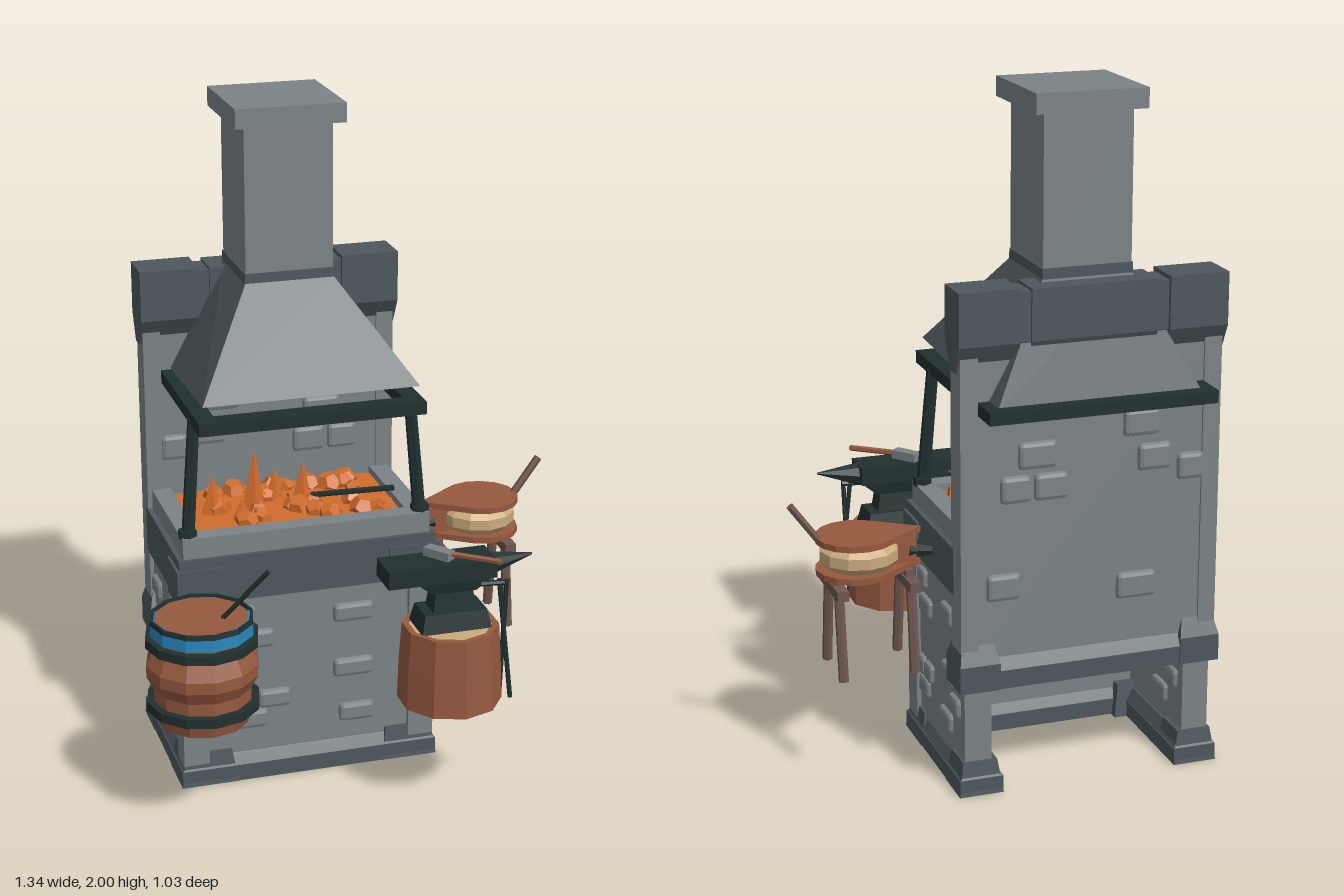
import * as THREE from 'three';
import { RoundedBoxGeometry } from 'three/addons/geometries/RoundedBoxGeometry.js';
import { ConvexGeometry } from 'three/addons/geometries/ConvexGeometry.js';

const material = (name, color) => Object.assign(new THREE.MeshStandardMaterial({ color }), { name });
const M = {
  stone: material('light stone', 0x7b8386),
  dark: material('dark stone', 0x4c575c),
  iron: material('black iron', 0x20302f),
  wood: material('red wood', 0x96593f),
  tan: material('tan leather', 0xcbab7d),
  blue: material('blue paint', 0x2482b8),
  fire: material('glowing coal', 0xd06c2c),
  handle: material('handle wood', 0x6f574f),
};

export function createModel() {
  const root = new THREE.Group();
  root.name = 'blacksmithForge';
  const V = (x, y, z) => new THREE.Vector3(x, y, z);

  // Faceted mesh
  const add = (name, geo, mat, x = 0, y = 0, z = 0, parent = root) => {
    const g = geo.index ? geo.toNonIndexed() : geo;
    g.computeVertexNormals();
    const m = new THREE.Mesh(g, mat);
    m.name = name;
    m.position.set(x, y, z);
    parent.add(m);
    return m;
  };
  // Box given by its limits; the top can be drawn in on x and z
  const box = (name, mat, x0, x1, y0, y1, z0, z1, inX = 0, inZ = 0) => {
    const g = new THREE.BoxGeometry(x1 - x0, y1 - y0, z1 - z0);
    const p = g.attributes.position;
    for (let i = 0; i < p.count; i++) if (p.getY(i) > 0) {
      p.setX(i, p.getX(i) - Math.sign(p.getX(i)) * inX);
      p.setZ(i, p.getZ(i) - Math.sign(p.getZ(i)) * inZ);
    }
    return add(name, g, mat, (x0 + x1) / 2, (y0 + y1) / 2, (z0 + z1) / 2);
  };
  // Profile of [z, y] points swept along x
  const prism = (name, mat, pts, x0, x1) => {
    const s = new THREE.Shape(pts.map(([z, y]) => new THREE.Vector2(-z, y)));
    const g = new THREE.ExtrudeGeometry(s, { depth: x1 - x0, bevelEnabled: false });
    return add(name, g.rotateY(Math.PI / 2), mat, x0);
  };
  const rod = (name, mat, a, b, r, r2 = r, sides = 6) => {
    const d = b.clone().sub(a);
    const m = add(name, new THREE.CylinderGeometry(r2, r, d.length(), sides), mat);
    m.position.copy(a).addScaledVector(d, 0.5);
    m.quaternion.setFromUnitVectors(V(0, 1, 0), d.normalize());
    return m;
  };
  const lathe = (name, mat, pts, sides, x, z) =>
    add(name, new THREE.LatheGeometry(pts.map(p => new THREE.Vector2(...p)), sides), mat, x, 0, z);

  const L = -0.535, R = 0.255;

  // Base walls, open at the back
  box('frontWall', M.stone, L + 0.02, R - 0.02, 0.03, 0.61, -0.01, 0.075);
  for (const s of [-1, 1]) {
    const edge = s > 0 ? R : L;
    const slab = (name, mat, a, b, y0, y1, z0, z1, ix, iz) =>
      box(name, mat, Math.min(edge - s * a, edge - s * b), Math.max(edge - s * a, edge - s * b), y0, y1, z0, z1, ix, iz);
    slab('lowerSideWall', M.stone, 0.02, 0.1, 0.03, 0.34, -0.405, 0.07);
    slab('upperSideWall', M.stone, 0.02, 0.1, 0.33, 0.61, -0.35, 0.07);
    slab('cornerPillar', M.stone, 0.007, 0.085, 0.05, 0.62, 0.01, 0.092);
    // Dark footing and corner blocks
    slab('sideFooting', M.dark, 0, 0.13, 0, 0.05, -0.425, 0.1);
    slab('sideFootingBevel', M.dark, 0.003, 0.127, 0.05, 0.085, -0.422, 0.097, 0.02, 0.02);
    slab('frontFootBlock', M.dark, -0.002, 0.17, 0, 0.1, -0.06, 0.102, 0.015, 0.015);
    slab('backFootBlock', M.dark, -0.002, 0.13, 0, 0.1, -0.427, -0.29, 0.015, 0.015);
    slab('cornerBracket', M.dark, -0.002, 0.15, 0.59, 0.7, -0.03, 0.102);
    // Feet of the back wall
    slab('backWallFoot', M.dark, 0, 0.12, 0.32, 0.4, -0.43, -0.3);
    slab('backWallFootTaper', M.dark, 0, 0.12, 0.4, 0.465, -0.43, -0.3, 0.015, 0.03);
    slab('backPillar', M.stone, 0.008, 0.06, 0.4, 1.3, -0.412, -0.328);
    // Hearth rim and hood posts
    slab('sideRim', M.stone, 0.022, 0.08, 0.73, 0.79, -0.34, 0.082);
    const foot = s > 0 ? 0.212 : -0.492, head = s > 0 ? 0.183 : -0.463;
    rod('hoodPost', M.iron, V(foot, 0.77, 0.052), V(head, 1.14, 0.036), 0.02, 0.018);
    rod('postFoot', M.iron, V(foot, 0.785, 0.052), V(foot, 0.81, 0.052), 0.028);
  }
  box('frontFooting', M.dark, L, R, 0, 0.05, -0.03, 0.1);
  box('frontFootingBevel', M.dark, L + 0.003, R - 0.003, 0.05, 0.085, -0.027, 0.097, 0.02, 0.02);

  // Hearth band, rim and back wall
  box('hearthBand', M.dark, L + 0.006, R - 0.006, 0.59, 0.73, -0.35, 0.095);
  box('frontRim', M.stone, L + 0.022, R - 0.022, 0.73, 0.792, 0.025, 0.083);
  box('backWall', M.stone, L + 0.015, R - 0.015, 0.36, 1.3, -0.405, -0.335);
  prism('backWallBeam', M.dark, [[-0.425, 0.32], [-0.31, 0.32], [-0.31, 0.375], [-0.335, 0.41], [-0.405, 0.41], [-0.425, 0.375]], L + 0.1, R - 0.1);

  // Coping blocks on the back wall
  const coping = i => [[-0.39, 1.25], [-0.35, 1.25], [-0.305 - i, 1.33], [-0.305 - i, 1.482 - i], [-0.43 + i, 1.482 - i], [-0.43 + i, 1.33]];
  prism('copingEnd', M.dark, coping(0), L, -0.36);
  prism('copingEnd', M.dark, coping(0), 0.08, R);
  prism('copingMiddle', M.dark, coping(0.004), -0.325, 0.045);
  for (const x of [-0.365, 0.04]) prism('copingJoint', M.dark, coping(0.012), x, x + 0.045);

  // Raised bricks: [across, height, width, tall]
  const brick = (x, y, z, w, h, d) => add('brick', new RoundedBoxGeometry(w, h, d, 1, 0.013), M.stone, x, y, z);
  [[-0.36, 0.25], [-0.245, 0.25, 0.1], [-0.32, 0.19, 0.11], [0, 0.32], [0.01, 0.17, 0.11], [-0.34, 0.53, 0.08],
    [-0.3, 0.45, 0.11], [0, 0.5]].forEach(([x, y, w = 0.125, h = 0.06]) => brick(x, y, 0.033, w, h, 0.115));
  [[-0.29, 1.065, 0.11], [0.02, 1, 0.115], [-0.02, 0.905, 0.1], [0.085, 0.905, 0.09], [-0.33, 0.96, 0.1], [-0.44, 0.92, 0.08],
    [-0.28, 0.58, 0.12], [0.12, 0.62, 0.1]].forEach(([x, y, w]) => brick(x, y, -0.37, w, 0.08, 0.1));
  for (const x of [L + 0.06, R - 0.06])
    [[-0.02, 0.25, 0.06], [-0.09, 0.25, 0.07], [-0.05, 0.19, 0.08], [-0.27, 0.32, 0.1], [-0.33, 0.245, 0.08], [-0.25, 0.17, 0.1],
      [-0.03, 0.53, 0.07], [-0.06, 0.45, 0.1], [-0.26, 0.5, 0.09]].forEach(([z, y, w]) => brick(x, y, z, 0.11, 0.06, w));

  // Hood, its iron frame and the chimney
  const hood = [];
  for (const [x0, x1, y, z] of [[-0.46, 0.18, 1.21, 0.14], [-0.44, 0.16, 1.16, -0.475], [-0.27, -0.01, 1.49, -0.095], [-0.27, -0.01, 1.49, -0.36]])
    hood.push(V(x0, y, z), V(x1, y, z));
  add('hood', new ConvexGeometry(hood), M.dark);
  box('hoodFrameFront', M.iron, -0.475, 0.195, 1.13, 1.167, 0.1, 0.16);
  box('hoodFrameBack', M.iron, -0.475, 0.195, 1.13, 1.167, -0.512, -0.41);
  for (const x of [-0.475, 0.14]) box('hoodFrameSide', M.iron, x, x + 0.055, 1.13, 1.167, -0.45, 0.12);
  box('chimney', M.stone, -0.27, -0.01, 1.48, 1.95, -0.36, -0.095);
  box('chimneyCollar', M.dark, -0.273, -0.007, 1.485, 1.515, -0.363, -0.092);
  box('chimneyCap', M.stone, -0.302, 0.022, 1.943, 2, -0.39, -0.063);

  // Coals and flames
  let seed = 7;
  const rand = () => (seed = (seed * 16807) % 2147483647) / 2147483647;
  box('emberBed', M.fire, -0.46, 0.18, 0.72, 0.768, -0.335, 0.03);
  for (let i = 0; i < 34; i++) {
    const m = add('coal', new THREE.DodecahedronGeometry(0.025 + rand() * 0.018), M.fire,
      -0.42 + rand() * 0.55, 0.772, -0.3 + rand() * 0.28);
    m.rotation.set(rand() * 3, rand() * 3, 0);
  }
  for (const [x, z, top, r] of [[-0.37, -0.16, 0.875, 0.035], [-0.24, -0.17, 0.935, 0.038], [-0.095, -0.15, 0.895, 0.035], [-0.3, -0.08, 0.83, 0.03], [-0.16, -0.23, 0.85, 0.03]])
    rod('flame', M.fire, V(x, 0.76, z), V(x + 0.005, top, z), r, 0.004, 5);
  rod('firePoker', M.iron, V(-0.07, 0.8, -0.13), V(0.155, 0.84, -0.02), 0.009);

  // Barrel
  const bx = -0.51, bz = 0.285;
  lathe('barrelStaves', M.wood, [[0, 0.325], [0.13, 0.325], [0.142, 0.37], [0.142, 0.435], [0.163, 0.475], [0.163, 0.51], [0.142, 0.555], [0.142, 0.605], [0.135, 0.642], [0, 0.642]], 12, bx, bz);
  for (const y of [0.37, 0.565])
    lathe('barrelHoop', M.iron, [[0.13, y], [0.164, y], [0.164, y + 0.028], [0.13, y + 0.028]], 12, bx, bz);
  lathe('barrelBlueBand', M.blue, [[0.14, 0.598], [0.151, 0.6], [0.147, 0.636], [0.135, 0.645]], 12, bx, bz);
  lathe('barrelLip', M.iron, [[0.14, 0.634], [0.15, 0.634], [0.148, 0.648], [0.141, 0.648], [0.14, 0.634]], 12, bx, bz);
  rod('barrelPoker', M.iron, V(-0.455, 0.64, 0.31), V(-0.34, 0.8, 0.385), 0.007);

  // Stump
  lathe('stumpBark', M.wood, [[0, 0.325], [0.152, 0.325], [0.148, 0.45], [0.14, 0.562], [0.122, 0.562], [0.122, 0.54]], 10, 0.205, 0.362);
  add('stumpTop', new THREE.CylinderGeometry(0.124, 0.124, 0.008, 10), M.tan, 0.205, 0.554, 0.362);

  // Anvil
  box('anvilFoot', M.iron, 0.1, 0.31, 0.56, 0.615, 0.3, 0.425, 0.012, 0.012);
  box('anvilWaist', M.iron, 0.14, 0.27, 0.61, 0.68, 0.325, 0.4, 0.01, 0.008);
  const flare = box('anvilNeck', M.iron, 0.14, 0.27, 0.67, 0.72, 0.33, 0.395, -0.06, -0.01);
  flare.name = 'anvilNeck';
  box('anvilFace', M.iron, 0, 0.325, 0.712, 0.766, 0.305, 0.418);
  rod('anvilHorn', M.iron, V(0.32, 0.735, 0.362), V(0.45, 0.748, 0.362), 0.036, 0.003, 8);

  // Hammer lying on the anvil
  const head = add('hammerHead', new THREE.BoxGeometry(0.035, 0.026, 0.085), M.stone, 0.17, 0.78, 0.353);
  head.rotation.y = 0.65;
  rod('hammerHandle', M.wood, V(0.165, 0.783, 0.35), V(0.315, 0.783, 0.47), 0.009);

  // Tongs hanging by the stump
  rod('tongsArm', M.iron, V(0.335, 0.7, 0.405), V(0.37, 0.33, 0.425), 0.007);
  rod('tongsArm', M.iron, V(0.355, 0.7, 0.415), V(0.345, 0.33, 0.4), 0.007);
  rod('tongsHook', M.iron, V(0.28, 0.69, 0.4), V(0.36, 0.69, 0.41), 0.008);

  // Bellows
  const cx = 0.475, cz = -0.143;
  const drop = new THREE.Shape();
  drop.moveTo(0.28, 0);
  for (let i = 0; i <= 10; i++) {
    const a = -2.05 + i * 0.41;
    drop.lineTo(cx + 0.115 * Math.cos(a), 0.115 * Math.sin(a));
  }
  const board = (name, y) => add(name, new THREE.ExtrudeGeometry(drop, { depth: 0.018, bevelEnabled: false }).rotateX(-Math.PI / 2), M.wood, 0, y, cz);
  board('bellowsLowerBoard', 0.617);
  board('bellowsUpperBoard', 0.714);
  lathe('bellowsBag', M.tan, [[0.07, 0.632], [0.098, 0.64], [0.115, 0.66], [0.115, 0.692], [0.098, 0.708], [0.07, 0.716]], 12, cx - 0.01, cz);
  box('bellowsThroat', M.wood, 0.3, 0.38, 0.632, 0.716, cz - 0.025, cz + 0.025);
  rod('bellowsNozzle', M.iron, V(0.32, 0.67, cz), V(0.235, 0.655, cz), 0.032, 0.016, 8);
  rod('bellowsHandle', M.handle, V(0.575, 0.715, cz), V(0.662, 0.835, cz), 0.012);

  // Bellows stand
  for (const x of [0.327, 0.54]) {
    box('standBar', M.handle, x - 0.017, x + 0.017, 0.57, 0.6, cz - 0.105, cz + 0.105);
    box('standPost', M.handle, x - 0.012, x + 0.012, 0.59, 0.62, cz - 0.05, cz + 0.05);
    for (const s of [-1, 1]) rod('standLeg', M.handle, V(x, 0.322, cz + s * 0.09), V(x, 0.58, cz + s * 0.055), 0.015);
  }
  return root;
}
